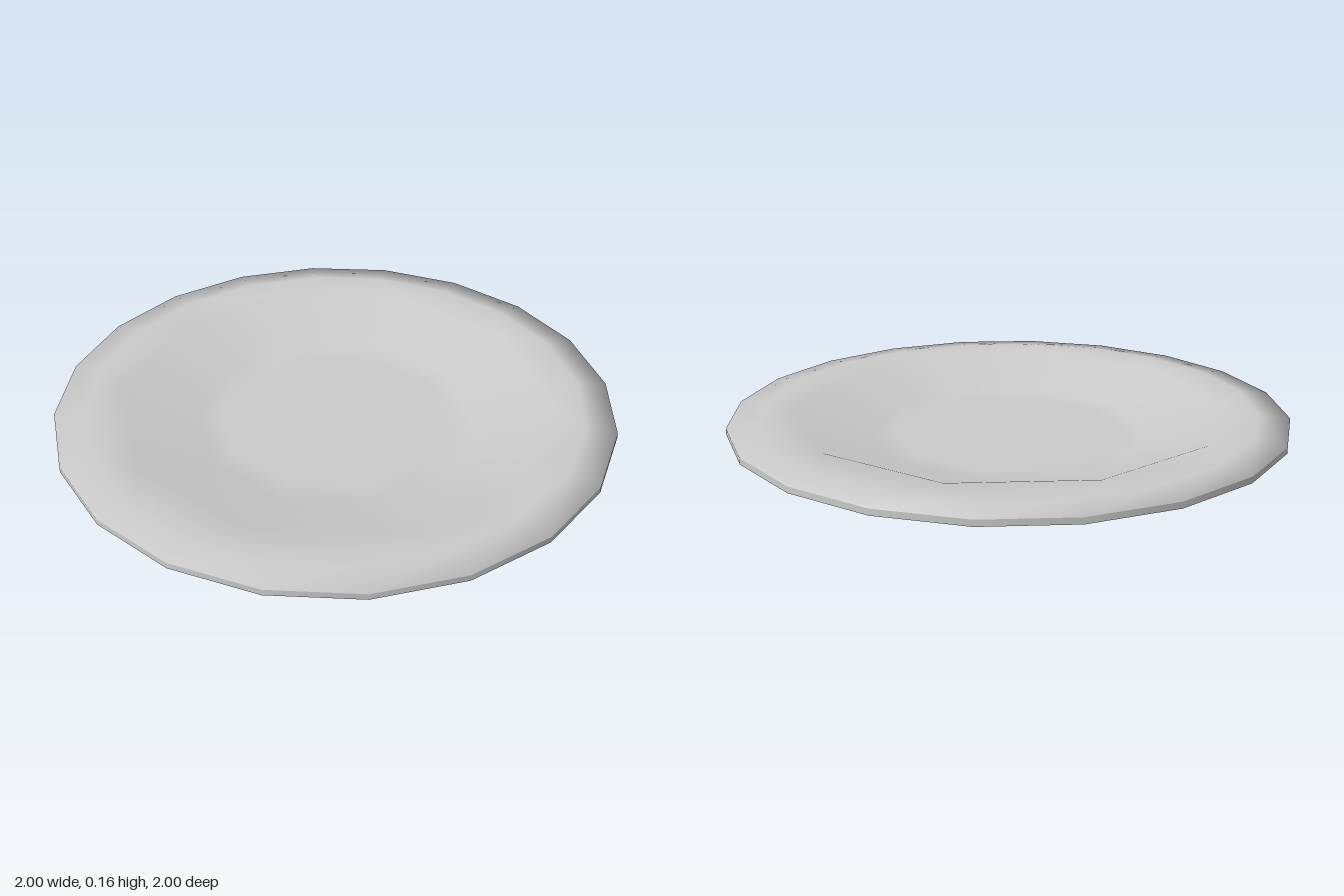
import * as THREE from 'three';

const SIDES = 20;

// Revolve a profile whose points run outward and up the outside.
function turned(name, points, material) {
  const profile = points.map(([r, y]) => new THREE.Vector2(r, y));
  const mesh = new THREE.Mesh(new THREE.LatheGeometry(profile, SIDES), material);
  mesh.name = name;
  return mesh;
}

// Upper surface: the lip has 20 sides, the dish inside it 10 sides turned by 9 degrees.
// Each ring is [sides, radius, height, outward tilt of the normal in degrees].
function dishGeometry() {
  const rings = [
    [20, 1, 0.142, 60],
    [20, 0.89, 0.156, 3],
    [10, 0.775, 0.154, -12],
    [10, 0.5, 0.062, -11],
    [10, 0.41, 0.06, 0],
  ];
  const positions = [];
  const normals = [];
  const index = [];
  const starts = [];
  for (const [sides, r, y, tilt] of rings) {
    starts.push(positions.length / 3);
    const t = THREE.MathUtils.degToRad(tilt);
    const turn = sides === 10 ? Math.PI / 20 : 0;
    for (let i = 0; i < sides; i++) {
      const a = (i / sides) * Math.PI * 2 + turn;
      positions.push(r * Math.sin(a), y, r * Math.cos(a));
      normals.push(Math.sin(t) * Math.sin(a), Math.cos(t), Math.sin(t) * Math.cos(a));
    }
  }
  const centre = positions.length / 3;
  positions.push(0, 0.06, 0);
  normals.push(0, 1, 0);

  for (let k = 0; k < rings.length; k++) {
    const n = rings[k][0];
    const at = (ring, i) => starts[ring] + (i % rings[ring][0]);
    for (let i = 0; i < n; i++) {
      const a = at(k, i);
      const b = at(k, i + 1);
      if (k === rings.length - 1) {
        index.push(a, b, centre);
      } else if (rings[k + 1][0] === n) {
        index.push(a, b, at(k + 1, i + 1), a, at(k + 1, i + 1), at(k + 1, i));
      } else {
        // Two lip edges meet one dish edge
        const p = at(k + 1, Math.floor(i / 2));
        index.push(a, b, p);
        if (i % 2) index.push(b, at(k + 1, (i + 1) / 2), p);
      }
    }
  }
  const geometry = new THREE.BufferGeometry();
  geometry.setAttribute('position', new THREE.Float32BufferAttribute(positions, 3));
  geometry.setAttribute('normal', new THREE.Float32BufferAttribute(normals, 3));
  geometry.setIndex(index);
  return geometry;
}

export function createModel() {
  const plate = new THREE.Group();
  plate.name = 'plate';
  const material = new THREE.MeshStandardMaterial({ color: 0xcccccc });

  const dish = new THREE.Mesh(dishGeometry(), material);
  dish.name = 'lipAndDish';

  plate.add(
    // Flat base, short foot and sloping outer wall in one smooth surface
    turned('underside', [[0, 0], [0.56, 0], [0.59, 0], [0.605, 0.015], [1, 0.12]], material),
    // Narrow upright band around the rim
    turned('rimBand', [[1, 0.12], [1, 0.142]], material),
    dish,
  );
  return plate;
}
